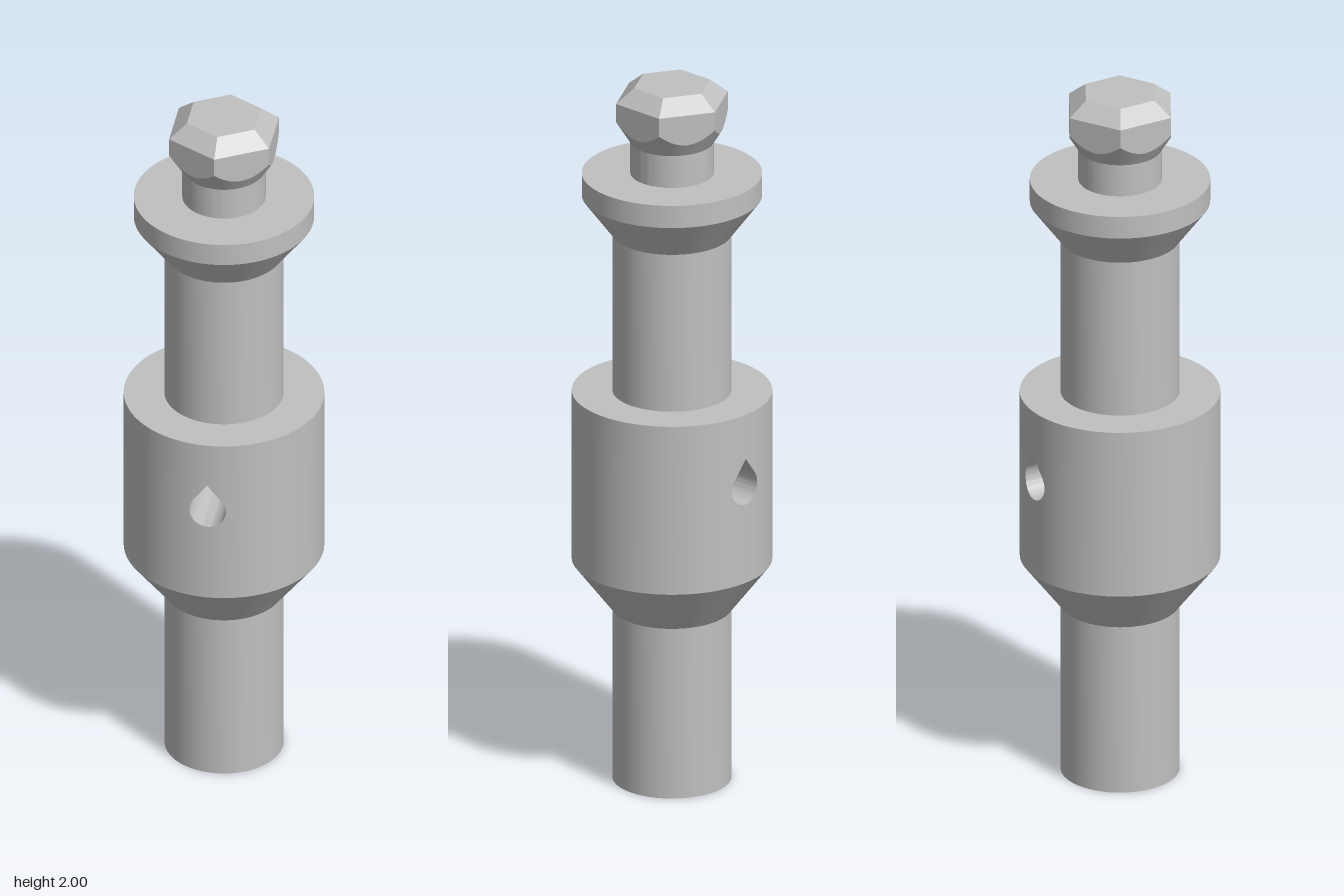
import * as THREE from 'three';
import { mergeGeometries, toCreasedNormals } from 'three/addons/utils/BufferGeometryUtils.js';

const CREASE = 0.4;
const SEGMENTS = 96;
const SLEEVE_R = 0.269, SLEEVE_LOW = 0.632, SLEEVE_TOP = 1.117;
const HOLE_R = 0.05, HOLE_Y = 0.908, HOLE_TIP = 0.99;

// Surface between two rows of points; faces front when a runs right and b lies above it
function strip(a, b) {
  const pos = [];
  for (let i = 0; i < a.length - 1; i++) {
    for (const p of [a[i], a[i + 1], b[i + 1], a[i], b[i + 1], b[i]]) pos.push(p.x, p.y, p.z);
  }
  const g = new THREE.BufferGeometry();
  g.setAttribute('position', new THREE.Float32BufferAttribute(pos, 3));
  return g;
}

export function createModel() {
  const model = new THREE.Group();
  model.name = 'spindle';
  const steel = new THREE.MeshStandardMaterial({ color: 0xc0c0c0 });
  steel.name = 'grey steel';

  const add = (name, geometry) => {
    const mesh = new THREE.Mesh(toCreasedNormals(geometry, CREASE), steel);
    mesh.name = name;
    model.add(mesh);
    return mesh;
  };
  const turned = (name, profile) =>
    add(name, new THREE.LatheGeometry(profile.map(([r, y]) => new THREE.Vector2(r, y)), SEGMENTS));

  // Turned shaft sections below and above the sleeve
  turned('lowerShaft', [[0, 0], [0.16, 0], [0.16, 0.49], [SLEEVE_R, SLEEVE_LOW]]);
  turned('upperShaft', [[SLEEVE_R, SLEEVE_TOP], [0.16, SLEEVE_TOP], [0.16, 1.57]]);
  turned('flange', [[0.16, 1.57], [0.242, 1.68], [0.242, 1.744], [0.112, 1.744]]);
  turned('neck', [[0.112, 1.744], [0.112, 1.836]]);

  // Teardrop outline as lower and upper heights over x
  const tipDist = HOLE_TIP - HOLE_Y;
  const tangentY = HOLE_R * HOLE_R / tipDist;
  const tangentX = Math.sqrt(HOLE_R * HOLE_R - tangentY * tangentY);
  const arc = x => Math.sqrt(Math.max(0, HOLE_R * HOLE_R - x * x));
  const low = x => HOLE_Y - arc(x);
  const high = x => Math.abs(x) < tangentX
    ? HOLE_TIP - (tipDist - tangentY) * Math.abs(x) / tangentX
    : HOLE_Y + arc(x);
  const xs = [];
  for (let i = 0; i <= 32; i++) xs.push(HOLE_R * Math.sin((i / 32 - 0.5) * Math.PI));
  const row = (height, side = 1) => xs.map(x =>
    new THREE.Vector3(x, height(x), side * Math.sqrt(SLEEVE_R * SLEEVE_R - x * x)));

  // Sleeve wall: plain side plus the strips under and over the hole, repeated at the back
  const half = Math.asin(HOLE_R / SLEEVE_R);
  const side = new THREE.CylinderGeometry(SLEEVE_R, SLEEVE_R, SLEEVE_TOP - SLEEVE_LOW,
    SEGMENTS / 2, 1, true, half, Math.PI - 2 * half).toNonIndexed();
  side.translate(0, (SLEEVE_TOP + SLEEVE_LOW) / 2, 0);
  side.deleteAttribute('uv');
  side.deleteAttribute('normal');
  const halfWall = mergeGeometries([
    side,
    strip(row(() => SLEEVE_LOW), row(low)),
    strip(row(high), row(() => SLEEVE_TOP)),
  ]);
  add('sleeve', mergeGeometries([halfWall, halfWall.clone().rotateY(Math.PI)]));

  // Teardrop passage through the sleeve
  add('teardropHole', mergeGeometries([
    strip(row(low, 1), row(low, -1)),
    strip(row(high, -1), row(high, 1)),
  ]));

  // Hexagonal head with a conical underside and a chamfered top
  const hexRing = (apothem, height) => {
    const ring = [];
    for (let i = 0; i <= 72; i++) {
      const t = i / 72 * Math.PI * 2;
      const r = apothem / Math.cos((i % 12 - 6) / 12 * Math.PI / 3);
      ring.push(new THREE.Vector3(r * Math.sin(t), height(r), r * Math.cos(t)));
    }
    return ring;
  };
  const neckRing = hexRing(1, () => 0).map(p => p.setLength(0.112).setY(1.836));
  const underside = hexRing(0.136, r => 1.836 + (r - 0.112) * 1.6);
  const shoulder = hexRing(0.136, () => 1.96);
  const rim = hexRing(0.092, () => 2);
  const centre = rim.map(() => new THREE.Vector3(0, 2, 0));
  add('headUnderside', strip(neckRing, underside));
  add('hexHead', mergeGeometries([
    strip(underside, shoulder), strip(shoulder, rim), strip(rim, centre),
  ]));

  return model;
}
